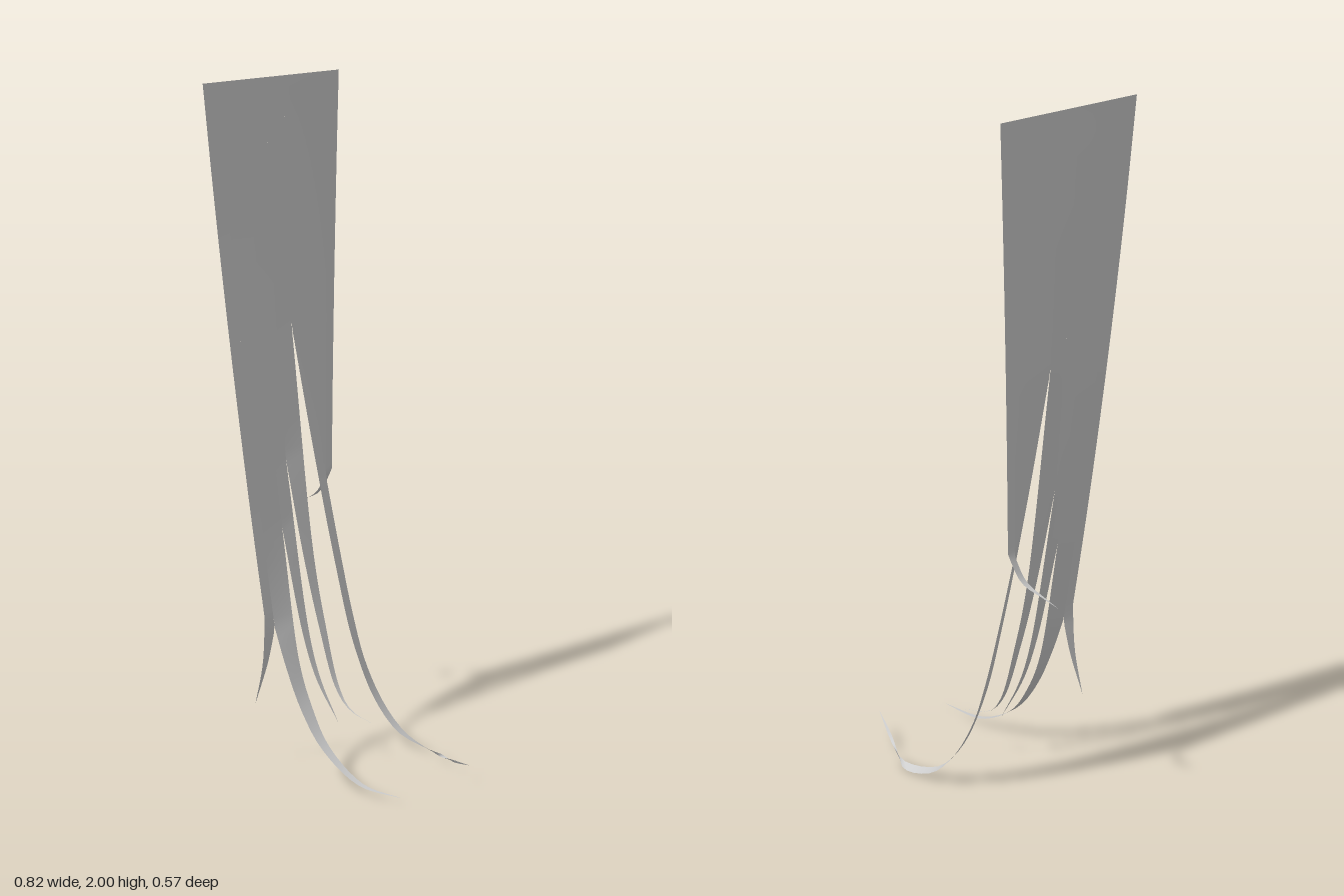
import * as THREE from 'three';

const STEPS = 72;
const { lerp, smoothstep } = THREE.MathUtils;

// Lines down the sheet: z at the top edge, then the y and z where the line ends in a split
const seams = {
  front: [0.288, 0.47, 0.212],
  ab: [0.23, 0.435, 0.175],
  bc: [0.13, 0.71, 0.09],
  cd: [0.035, 0.9, 0.033],
  de: [-0.045, 1.28, -0.045],
  ef: [-0.24, 0.79, -0.222],
  back: [-0.285, 0.8, -0.252],
};

// Free ends: stations of [x, y, z of edge a, z of edge b, drop of edge b], then the tip
const strands = [
  { name: 'frontStrand', a: 'front', b: 'ab', tip: [-0.16, 0.2, 0.206],
    stations: [[-0.127, 0.33, 0.209, 0.186]] },
  { name: 'longFrontStrand', a: 'ab', b: 'bc', tip: [0.36, 0.03, 0.164],
    stations: [[-0.07, 0.32, 0.17, 0.112], [-0.015, 0.2, 0.166, 0.12], [0.06, 0.105, 0.166, 0.134], [0.2, 0.03, 0.169, 0.15]] },
  { name: 'shortMiddleStrand', a: 'bc', b: 'cd', tip: [0.01, 0.135, 0.033],
    stations: [[-0.09, 0.39, 0.073, 0.046], [-0.05, 0.26, 0.06, 0.043]] },
  { name: 'longMiddleStrand', a: 'cd', b: 'de', tip: [0.12, 0.14, -0.007],
    stations: [[-0.14, 0.61, 0.014, -0.03], [-0.09, 0.4, 0.003, -0.026], [-0.03, 0.22, -0.003, -0.019], [0.02, 0.165, -0.006, -0.011]] },
  { name: 'longBackStrand', a: 'de', b: 'ef', tip: [0.415, 0.072, -0.073],
    stations: [[-0.2, 0.9, -0.1, -0.223, 0.35], [-0.15, 0.55, -0.14, -0.222, 0.18], [-0.1, 0.3, -0.167, -0.222, 0.07],
      [-0.03, 0.13, -0.187, -0.228, 0.02], [0.05, 0.045, -0.2, -0.233, 0.01], [0.17, 0.018, -0.204, -0.222, 0.014],
      [0.22, 0.022, -0.192, -0.19, 0.009], [0.3, 0.032, -0.145, -0.137, -0.01]] },
  { name: 'backFlick', a: 'ef', b: 'back', tip: [-0.41, 0.67, -0.213],
    stations: [[-0.3, 0.725, -0.221, -0.24], [-0.36, 0.693, -0.217, -0.225]] },
];

// The sheet sweeps forward in x as it falls, fading to straight at the back
function sheetPoint(y, z) {
  const fall = 2 - y;
  const x = -0.26 + (0.04 * fall + 0.036 * fall * fall) * smoothstep(z, -0.25, 0.15);
  return new THREE.Vector3(x, y, z);
}

function seamPoints([topZ, endY, endZ]) {
  return Array.from({ length: 7 }, (_, i) => {
    const t = i / 6;
    return sheetPoint(lerp(2, endY, t), lerp(topZ, endZ, t * (1.5 - 0.5 * t)));
  });
}

// A full edge: smooth down the seam, a corner at the split, then smooth to the tip
function edge(seam, tail, tip) {
  const upper = seamPoints(seam);
  const lower = [upper[upper.length - 1], ...tail, new THREE.Vector3(...tip)];
  const path = new THREE.CurvePath();
  for (const points of [upper, lower]) path.add(new THREE.CatmullRomCurve3(points));
  return path.getSpacedPoints(STEPS);
}

// Surface stretched between two edges
function ribbon(a, b) {
  const index = [];
  for (let k = 0; k < STEPS * 2; k += 2) index.push(k, k + 2, k + 1, k + 1, k + 2, k + 3);
  const geometry = new THREE.BufferGeometry().setFromPoints(a.flatMap((p, i) => [p, b[i]]));
  geometry.setIndex(index);
  geometry.computeVertexNormals();
  return geometry;
}

export function createModel() {
  const group = new THREE.Group();
  group.name = 'hairLock';
  const material = new THREE.MeshStandardMaterial({ color: 0xcccccc, side: THREE.DoubleSide });
  for (const { name, a, b, stations, tip } of strands) {
    const tailA = stations.map(([x, y, zA]) => new THREE.Vector3(x, y, zA));
    const tailB = stations.map(([x, y, , zB, drop = 0]) => new THREE.Vector3(x, y - drop, zB));
    const mesh = new THREE.Mesh(ribbon(edge(seams[a], tailA, tip), edge(seams[b], tailB, tip)), material);
    mesh.name = name;
    group.add(mesh);
  }
  return group;
}
